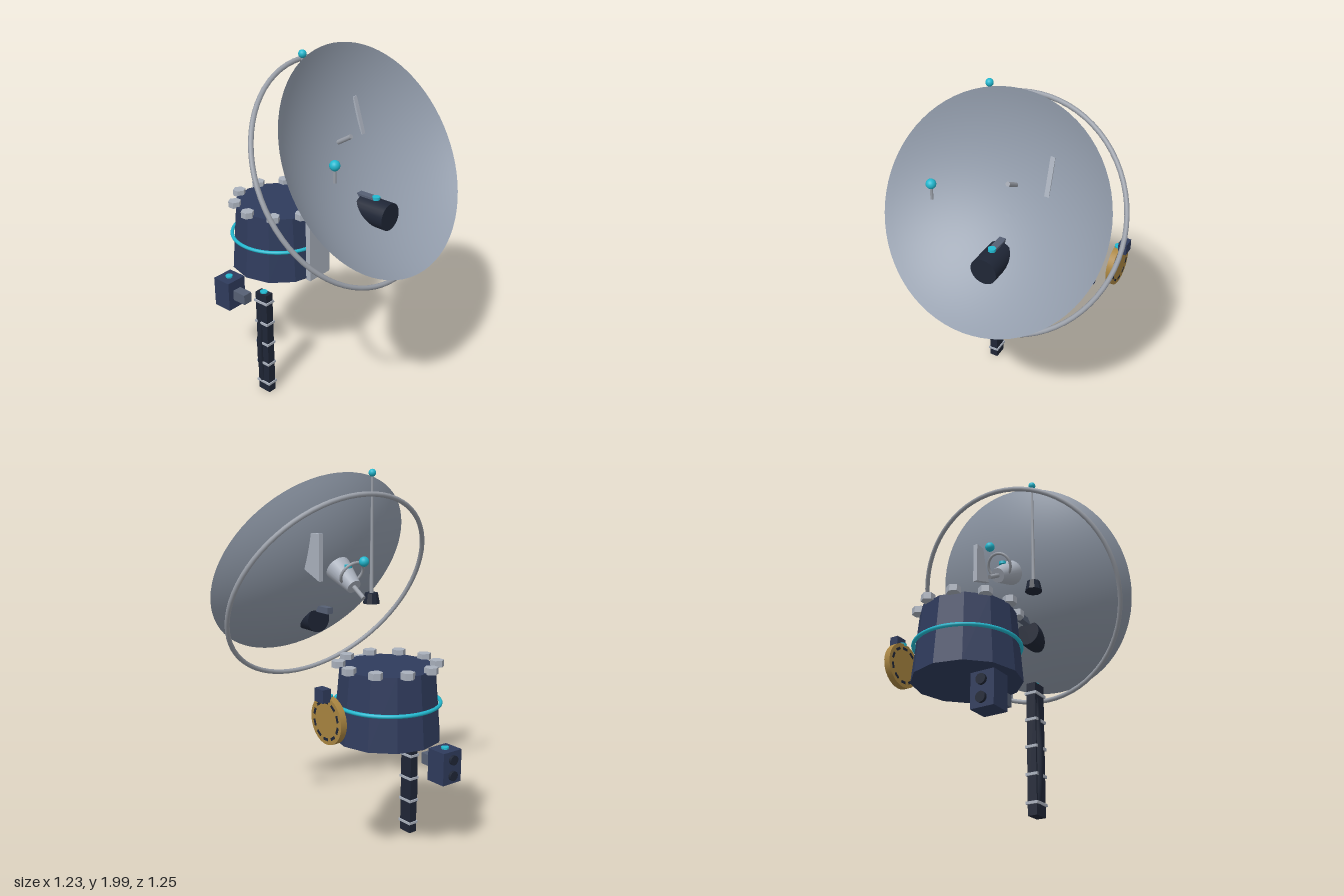
import * as THREE from 'three';

const mat = (color, extra = {}) => new THREE.MeshStandardMaterial({ color, ...extra });
const M = {
  dish: mat(0x929cab, { side: THREE.DoubleSide }),
  grey: mat(0xa9b0bc),
  steel: mat(0x9a9fa8),
  navy: mat(0x2f3b5c, { flatShading: true }),
  dark: mat(0x1f2636, { flatShading: true }),
  bracket: mat(0x566074),
  cyan: mat(0x22b8cf),
  gold: mat(0xa88440),
};

export function createModel() {
  const root = new THREE.Group();

  const add = (name, geometry, material, pos = [0, 0, 0], parent = root) => {
    const mesh = new THREE.Mesh(geometry, material);
    mesh.name = name;
    mesh.position.set(...pos);
    parent.add(mesh);
    return mesh;
  };
  const group = (name, pos) => {
    const g = new THREE.Group();
    g.name = name;
    g.position.set(...pos);
    root.add(g);
    return g;
  };
  const box = (x, y, z) => new THREE.BoxGeometry(x, y, z);
  const cyl = (top, bottom, h, n = 20) => new THREE.CylinderGeometry(top, bottom, h, n);
  const ball = (r) => new THREE.SphereGeometry(r, 20, 14);
  const light = (pos, parent) => add('indicatorLight', cyl(0.02, 0.02, 0.016), M.cyan, pos, parent);
  const flatRing = (r, tube) => new THREE.TorusGeometry(r, tube, 10, 72).rotateX(Math.PI / 2);

  const TILT = 1.021;

  // Dish: shallow spherical bowl, with a hoop around its back
  const reflector = group('reflector', [0, 1.371, 0.14]);
  reflector.rotation.x = TILT;
  const profile = [];
  for (let i = 0; i <= 20; i++) {
    const a = (0.6435 * i) / 20;
    profile.push(new THREE.Vector2(Math.sin(a), 1 - Math.cos(a)));
  }
  add('dish', new THREE.LatheGeometry(profile, 72), M.dish, [0, 0, 0], reflector);
  add('hoop', flatRing(0.604, 0.013), M.steel, [0, 0, 0], reflector);

  // Hub behind the dish, with a rod through it and a ring handle
  const hub = group('hub', [0, 1.458, 0]);
  hub.rotation.x = TILT;
  add('hubCone', cyl(0.07, 0.04, 0.16, 24), M.grey, [0, -0.01, 0], hub);
  add('hubRod', cyl(0.012, 0.012, 0.365, 12), M.steel, [0, 0, 0], hub);
  add('hubRing', flatRing(0.068, 0.008), M.steel, [0, -0.04, -0.05], hub);
  light([0, 1.512, -0.027]);
  add('rearBeacon', ball(0.026), M.cyan, [0, 1.55, -0.157]);

  // Beacon standing in the dish
  add('frontBeaconStem', cyl(0.008, 0.008, 0.09, 10), M.steel, [-0.33, 1.508, 0.325]);
  add('frontBeacon', ball(0.026), M.cyan, [-0.33, 1.55, 0.325]);

  // Whip aerial on a dark foot
  add('aerialFoot', cyl(0.036, 0.047, 0.056, 10), M.dark, [-0.18, 1.323, 0]);
  add('aerialRod', cyl(0.006, 0.011, 0.64, 10), M.steel, [-0.18, 1.66, 0]);
  add('aerialTip', ball(0.02), M.cyan, [-0.18, 1.98, 0]);

  // Tapered fin cutting through the dish
  const finShape = new THREE.Shape([
    [-0.035, 1.69], [0.035, 1.69], [0.035, 1.45], [-0.095, 1.5],
  ].map(([x, y]) => new THREE.Vector2(x, y)));
  const finGeo = new THREE.ExtrudeGeometry(finShape, { depth: 0.025, bevelEnabled: false });
  finGeo.rotateY(Math.PI / 2);
  add('fin', finGeo, M.grey, [0.167, 0, 0]);

  // Horn through the lower part of the dish
  add('horn', cyl(0.072, 0.072, 0.175, 24).rotateX(Math.PI / 2), mat(0x1f2636), [0, 1.19, 0.322]);
  add('hornBar', box(0.038, 0.034, 0.19), M.bracket, [0, 1.253, 0.225]);
  light([0, 1.268, 0.32]);

  // Drum with cyan band, front plate and a ring of hex bolts
  const drum = group('drum', [0, 0, -0.35]);
  add('drumBody', cyl(0.245, 0.277, 0.37, 12), M.navy, [0, 0.865, 0], drum);
  add('drumBand', flatRing(0.268, 0.01), M.cyan, [0, 0.865, 0], drum);
  add('drumPlate', box(0.16, 0.36, 0.03), M.grey, [0, 0.86, 0.282], drum);
  const boltMat = mat(0xa9b0bc, { flatShading: true });
  for (let i = 0; i < 10; i++) {
    const a = (i * Math.PI) / 5;
    add('bolt', cyl(0.036, 0.036, 0.034, 6), boltMat,
      [0.247 * Math.cos(a), 1.06, 0.247 * Math.sin(a)], drum);
  }

  // Gold wheel with dark slots, beside the drum
  const wheel = group('wheel', [0.391, 0.848, -0.378]);
  add('wheelDisc', cyl(0.119, 0.119, 0.034, 32).rotateZ(Math.PI / 2), M.gold, [0, 0, 0], wheel);
  for (let i = 0; i < 10; i++) {
    const a = (i * Math.PI) / 5;
    const slot = add('wheelSlot', box(0.037, 0.014, 0.034), M.dark,
      [0, 0.092 * Math.cos(a), 0.092 * Math.sin(a)], wheel);
    slot.rotation.x = a;
  }
  light([0, 0.118, 0], wheel);
  add('wheelBox', box(0.048, 0.065, 0.066), M.navy, [0.035, 0.132, 0], wheel);

  // Column with collars and a bowed cable
  const column = group('column', [-0.295, 0, -0.2]);
  add('columnPost', box(0.048, 0.64, 0.08), M.dark, [0, 0.332, 0], column);
  for (let i = 0; i < 5; i++) {
    add('collar', box(0.062, 0.013, 0.092), M.grey, [0, 0.07 + i * 0.1325, 0], column);
  }
  const cablePath = new THREE.CatmullRomCurve3([
    [-0.006, 0.61], [-0.02, 0.44], [-0.029, 0.29], [-0.022, 0.14], [-0.006, 0.02],
  ].map(([x, y]) => new THREE.Vector3(x, y, -0.016)));
  add('cable', new THREE.TubeGeometry(cablePath, 30, 0.017, 8), mat(0x1f2636), [0, 0, 0], column);
  light([0, 0.652, 0], column);

  // Sensor box on a bracket, with two lenses at the back
  const sensor = group('sensor', [-0.245, 0.516, -0.525]);
  add('sensorBox', box(0.126, 0.175, 0.115), M.navy, [0, 0, 0], sensor);
  add('sensorBracket', box(0.056, 0.06, 0.1), M.bracket, [0, 0, 0.095], sensor);
  for (const y of [0.043, -0.043]) {
    add('lens', cyl(0.026, 0.026, 0.03).rotateX(Math.PI / 2), M.dark, [0, y, -0.058], sensor);
  }
  light([0, 0.09, 0], sensor);

  return root;
}
